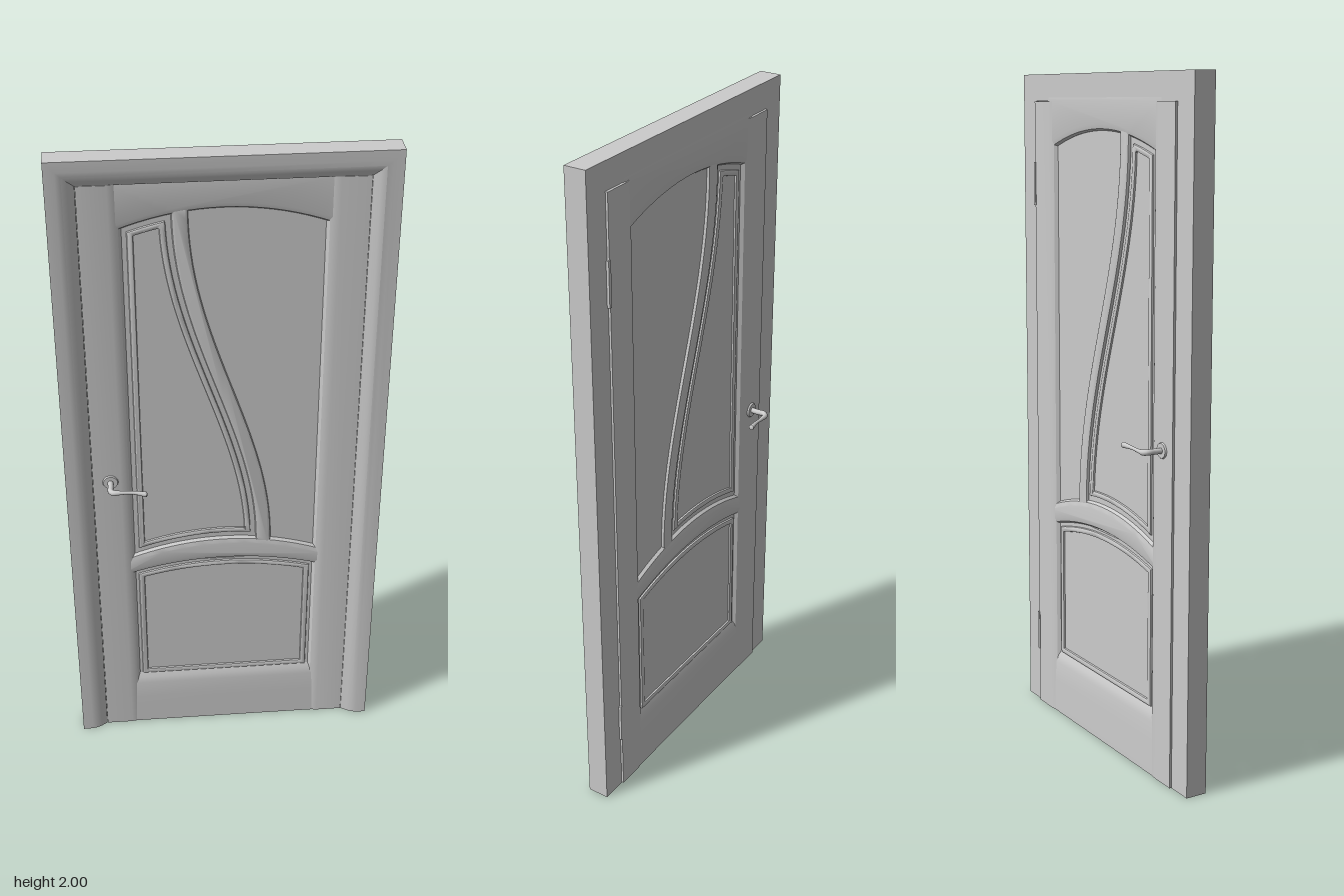
import * as THREE from 'three';
import { toCreasedNormals } from 'three/addons/utils/BufferGeometryUtils.js';

const material = new THREE.MeshStandardMaterial({ color: 0xcccccc });
const V2 = (x, y) => new THREE.Vector2(x, y);

function add(parent, name, geometry) {
  const mesh = new THREE.Mesh(geometry, material);
  mesh.name = name;
  parent.add(mesh);
  return mesh;
}

// Slab centred on z = 0 with bevelled edges; the outline is the widest extent
function slab(points, half, bevel, rise, hole) {
  const shape = new THREE.Shape(points);
  if (hole) shape.holes.push(new THREE.Path(hole));
  const depth = 2 * (half - rise);
  const geo = new THREE.ExtrudeGeometry(shape, {
    depth, bevelEnabled: bevel > 0, bevelSize: bevel, bevelOffset: -bevel, bevelThickness: rise, bevelSegments: 2,
  });
  geo.translate(0, 0, -depth / 2);
  return toCreasedNormals(geo, 0.5);
}

// Straight extrusion of a profile given by [a, z] pairs, mirrored front to back
function symmetricProfile(pairs, length) {
  const front = pairs.map(([a, z]) => V2(a, z));
  const back = pairs.map(([a, z]) => V2(a, -z)).reverse();
  return new THREE.ExtrudeGeometry(new THREE.Shape([...front, ...back]), { depth: length, bevelEnabled: false });
}

// Shallow arch and the S-shaped centre line of the dividing bar
const arch = (x, side, rise) => side + rise * (1 - (x / 0.275) ** 2);
const sway = (y) => -0.118 * Math.sin((Math.PI / 2) * (y - 1.28) / 0.55);
const range = (a, b, n, f) => Array.from({ length: n + 1 }, (_, i) => f(a + (b - a) * i / n));
const archPoints = (x0, x1, side, rise) => range(x0, x1, 20, (x) => V2(x, arch(x, side, rise)));
const swayPoints = (y0, y1, dx) => range(y0, y1, 32, (y) => V2(sway(y) + dx, y));

// Outlines of the two beaded panels, shrunk by d
function upperPanel(d) {
  const dx = -0.022 - d, left = -0.275 + d;
  const yLow = 0.735 + d, yHigh = 1.825 - d;
  return [
    ...archPoints(left, sway(yLow) + dx - 0.002, 0.695 + d, 0.05),
    ...swayPoints(yLow + 0.005, yHigh - 0.008, dx),
    ...archPoints(sway(yHigh) + dx - 0.002, left, 1.79 - d, 0.05),
  ];
}
function lowerPanel(d) {
  const w = 0.275 - d;
  return [V2(-w, 0.19 + d), V2(w, 0.19 + d), ...archPoints(w, -w, 0.625 - d, 0.04)];
}

// Casing: one moulded profile carried round three sides with mitred corners
function casingGeometry() {
  const profile = [[0.465, -0.02], [0.465, 0.045], [0.435, 0.044], [0.42, 0.041], [0.405, 0.034],
    [0.394, 0.027], [0.387, 0.023], [0.387, -0.02]].map(([u, z]) => V2(u, z));
  const geo = new THREE.ExtrudeGeometry(new THREE.Shape(profile), { depth: 3, steps: 3, bevelEnabled: false });
  const p = geo.attributes.position;
  for (let i = 0; i < p.count; i++) {
    const u = p.getX(i), z = p.getY(i), station = Math.round(p.getZ(i));
    const top = station === 1 || station === 2;
    p.setXYZ(i, station < 2 ? -u : u, top ? 1.535 + u : 0, z);
  }
  return toCreasedNormals(geo, 0.6);
}

// Lever: a bent tube whose thickness changes along its length
function leverGeometry() {
  const curve = new THREE.CatmullRomCurve3([
    [-0.335, 0.98, 0.02], [-0.335, 0.98, 0.05], [-0.335, 0.98, 0.072], [-0.326, 0.981, 0.08],
    [-0.305, 0.981, 0.081], [-0.27, 0.979, 0.081], [-0.234, 0.976, 0.087],
  ].map((a) => new THREE.Vector3(...a)));
  const segments = 40, sides = 14;
  const geo = new THREE.TubeGeometry(curve, segments, 1, sides, false);
  const p = geo.attributes.position, v = new THREE.Vector3();
  for (let i = 0; i < p.count; i++) {
    const t = Math.floor(i / (sides + 1)) / segments;
    const centre = curve.getPointAt(t);
    const radius = t < 0.4 ? 0.0085 : 0.0085 - 0.0035 * Math.sin(Math.PI * (t - 0.4) / 0.6);
    v.fromBufferAttribute(p, i).sub(centre).multiplyScalar(radius).add(centre);
    p.setXYZ(i, v.x, v.y, v.z);
  }
  return geo;
}

function createHandle() {
  const handle = new THREE.Group();
  add(handle, 'lever', leverGeometry());
  const tip = add(handle, 'leverTip', new THREE.SphereGeometry(0.0085, 14, 10));
  tip.scale.x = 0.5;
  tip.position.set(-0.234, 0.976, 0.087);
  const rose = add(handle, 'rosette', new THREE.CylinderGeometry(0.021, 0.023, 0.005, 28));
  rose.rotation.x = Math.PI / 2;
  rose.position.set(-0.335, 0.98, 0.027);
  return handle;
}

export function createModel() {
  const model = new THREE.Group();
  model.name = 'panelledDoor';
  add(model, 'casing', casingGeometry());

  const leaf = new THREE.Group();
  leaf.name = 'leaf';
  leaf.position.z = -0.0015;
  model.add(leaf);

  // Stiles with a sloped inner edge
  for (const side of [-1, 1]) {
    const geo = symmetricProfile(
      [[0.386, 0.0245], [0.305, 0.0245], [0.29, 0.022], [0.28, 0.018], [0.272, 0.008]]
        .map(([x, z]) => [side * x, z]), 1.921);
    geo.rotateX(-Math.PI / 2);
    add(leaf, side > 0 ? 'leftStile' : 'rightStile', toCreasedNormals(geo, 0.5));
  }

  // Bottom rail, sloping towards the panel
  const rail = symmetricProfile([[0, 0.022], [0.1, 0.021], [0.165, 0.0195], [0.185, 0.016], [0.205, 0.007]], 0.6);
  rail.applyMatrix4(new THREE.Matrix4().makeBasis(
    new THREE.Vector3(0, 1, 0), new THREE.Vector3(0, 0, 1), new THREE.Vector3(1, 0, 0)));
  rail.translate(-0.3, 0, 0);
  add(leaf, 'bottomRail', toCreasedNormals(rail, 0.5));

  // Arched middle and top rails
  add(leaf, 'middleRail', slab(
    [...archPoints(-0.32, 0.32, 0.625, 0.04), ...archPoints(0.32, -0.32, 0.695, 0.05)], 0.0205, 0.018, 0.011));
  add(leaf, 'topRail', slab(
    [...archPoints(-0.32, 0.32, 1.79, 0.05), V2(0.32, 1.942), V2(-0.32, 1.942)], 0.0205, 0.018, 0.011));

  // S-shaped bar between the upper panels
  add(leaf, 'curvedBar', slab(
    [...swayPoints(0.71, 1.85, 0.023), ...swayPoints(1.85, 0.71, -0.023)], 0.018, 0.008, 0.008));

  // Sunken panel sheets and their beads
  const sheet = (name, y0, y1) => {
    add(leaf, name, new THREE.BoxGeometry(0.58, y1 - y0, 0.016)).position.y = (y0 + y1) / 2;
  };
  sheet('lowerPanel', 0.15, 0.66);
  sheet('upperPanel', 0.69, 1.86);
  add(leaf, 'upperBead', slab(upperPanel(0.016), 0.0145, 0.005, 0.006, upperPanel(0.034)));
  add(leaf, 'lowerBead', slab(lowerPanel(0.012), 0.0145, 0.005, 0.006, lowerPanel(0.03)));

  // Handles on both faces
  const front = createHandle();
  front.name = 'frontHandle';
  const back = createHandle();
  back.name = 'backHandle';
  back.rotation.x = Math.PI;
  back.position.y = 1.96;
  leaf.add(front, back);

  // Hinges on the back
  for (const [name, y, h] of [['upperHinge', 1.675, 0.13], ['lowerHinge', 0.24, 0.125]]) {
    add(model, name, new THREE.BoxGeometry(0.01, h, 0.012)).position.set(0.387, y, -0.022);
  }
  return model;
}
